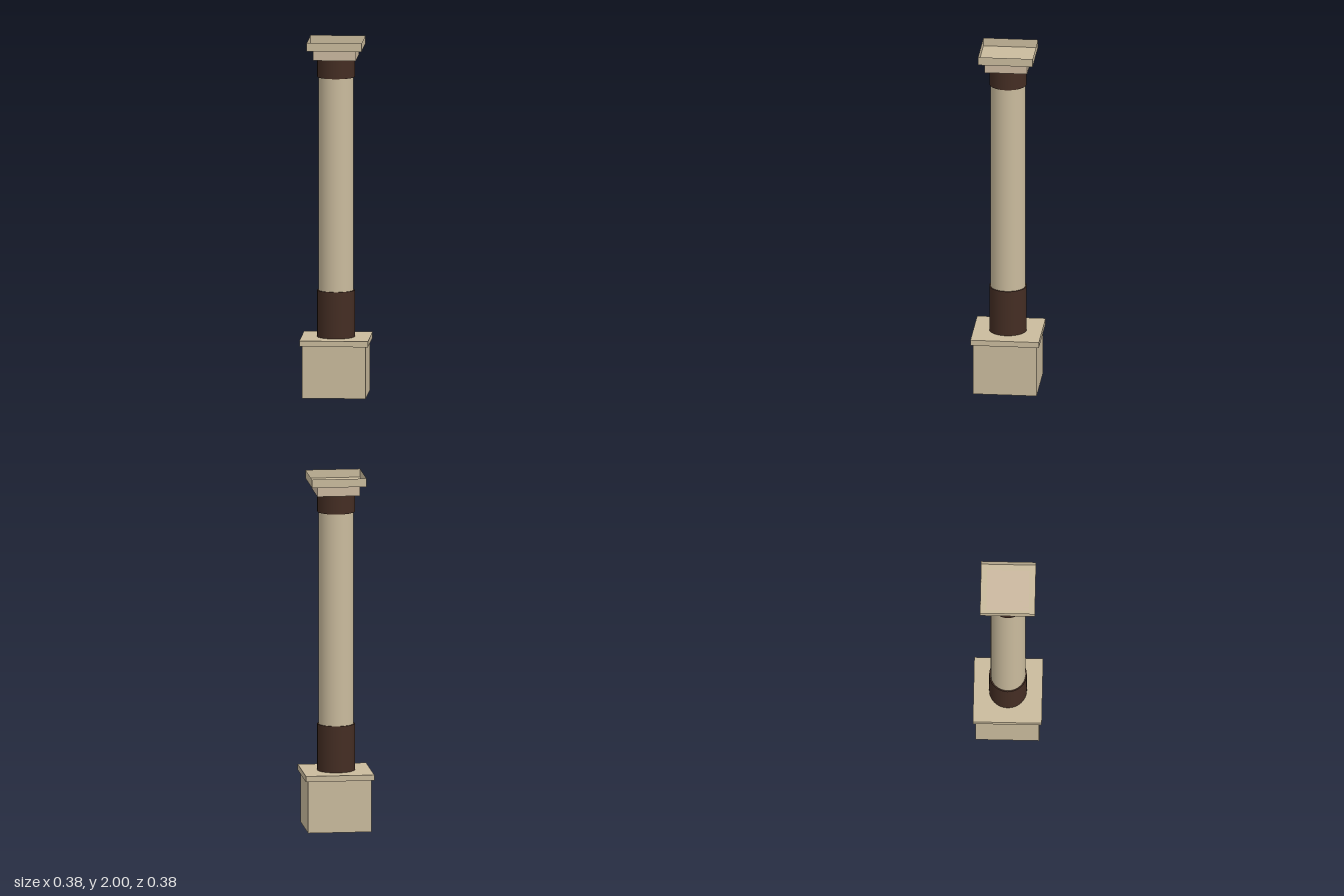
import * as THREE from 'three';

export function createModel() {
  const group = new THREE.Group();
  const stone = new THREE.MeshStandardMaterial({ name: 'sandstone', color: 0xcabb9d, side: THREE.DoubleSide });
  const neckStone = new THREE.MeshStandardMaterial({ name: 'pale sandstone', color: 0xccb9a0, side: THREE.DoubleSide });
  const bronze = new THREE.MeshStandardMaterial({ name: 'dark bronze', color: 0x442d23, side: THREE.DoubleSide });

  const add = (name, geometry, material, y0, y1) => {
    const mesh = new THREE.Mesh(geometry, material);
    mesh.name = name;
    mesh.position.y = (y0 + y1) / 2;
    group.add(mesh);
  };

  // Square block; openFace (2 = top, 3 = bottom) leaves that side hollow
  const block = (name, half, y0, y1, material, openFace = -1) => {
    const geometry = new THREE.BoxGeometry(half * 2, y1 - y0, half * 2);
    geometry.setIndex([...geometry.index.array].filter((_, i) => Math.floor(i / 6) !== openFace));
    geometry.clearGroups();
    add(name, geometry, material, y0, y1);
  };

  const drum = (name, radius, y0, y1, material) =>
    add(name, new THREE.CylinderGeometry(radius, radius, y1 - y0, 32), material, y0, y1);

  // Pedestal, hollow underneath
  block('pedestal', 0.178, 0, 0.293, stone, 3);
  block('pedestalSlab', 0.192, 0.293, 0.325, stone);

  // Round column with a collar at each end
  drum('lowerCollar', 0.105, 0.325, 0.588, bronze);
  drum('shaft', 0.098, 0.588, 1.79, stone);
  drum('upperCollar', 0.105, 1.79, 1.896, bronze);

  // Capital, with an open tray on top
  block('capitalNeck', 0.119, 1.896, 1.953, neckStone);
  block('capitalTray', 0.153, 1.953, 2, stone, 2);

  return group;
}
